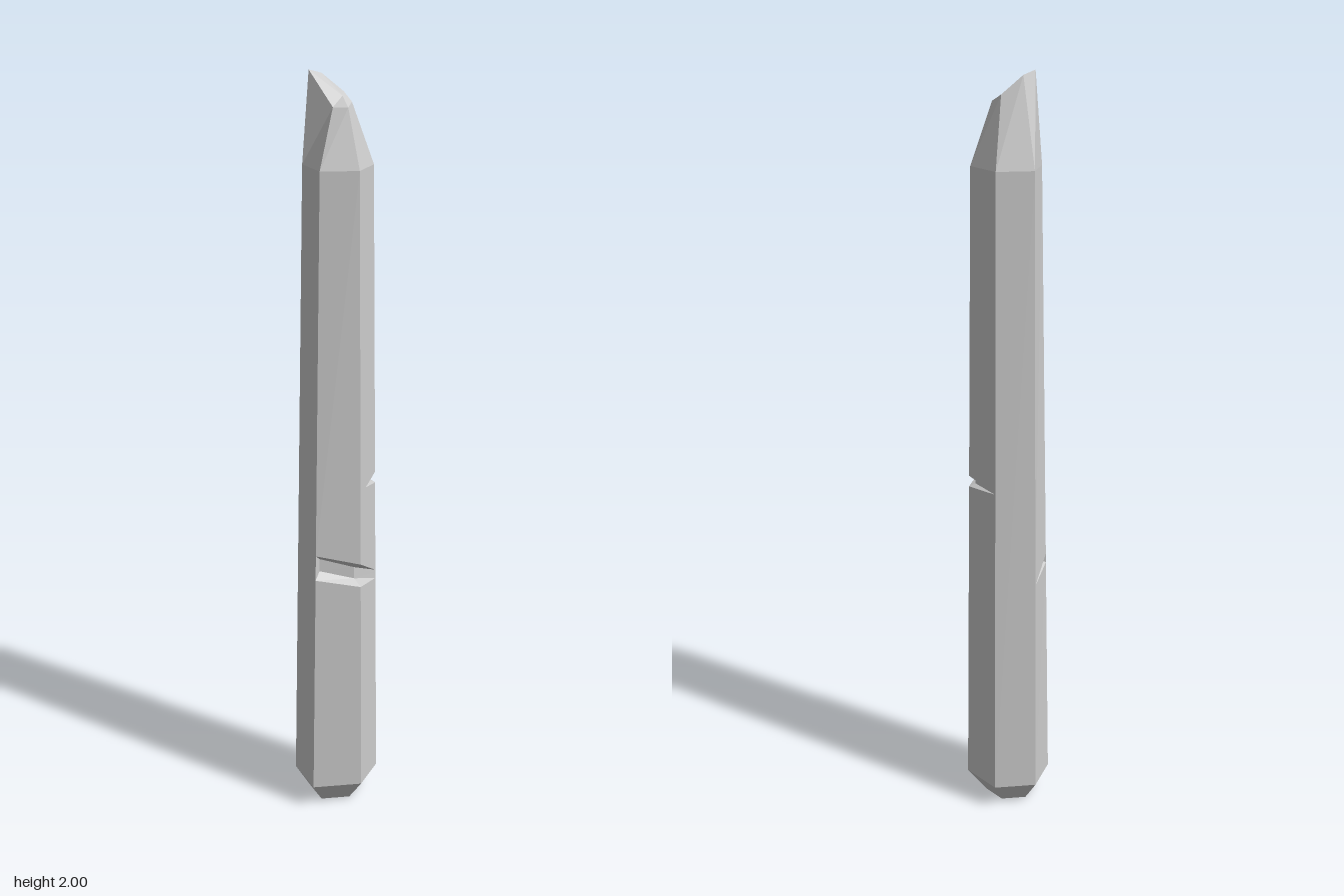
import * as THREE from 'three';

const v = (x, y, z) => new THREE.Vector3(x, y, z);
const Y0 = 0.065, Y1 = 1.77;

// Six corners, counter-clockwise: left, front-left, front-right, right, back-right, back-left
const foot = [[-0.12, -0.012], [-0.06, 0.085], [0.06, 0.107], [0.12, -0.012], [0.06, -0.108], [-0.06, -0.108]];
const shoulder = [[-0.102, -0.01], [-0.05, 0.057], [0.049, 0.073], [0.1, -0.01], [0.049, -0.09], [-0.05, -0.09]];
const crown = [v(-0.036, 1.99, 0.008), v(-0.04, 2, 0.043), v(0.022, 1.915, 0.015),
  v(0.047, 1.915, -0.013), v(0.03, 1.925, -0.036), v(-0.01, 1.945, -0.04)];

// Chips per side: samples of [position along side, low edge, high edge, depth]
const chips = {
  0: [[[0, 0.67, 0.67, 0], [1, 0.695, 0.72, 0.2]]],
  2: [[[0, 0.69, 0.76, 0.22], [1, 0.665, 0.73, 0.23]]],
  3: [[[0, 0.665, 0.73, 0.23], [1, 0.638, 0.67, 0]],
    [[0, 0.935, 0.935, 0], [0.35, 0.935, 0.935, 0], [1, 0.925, 0.955, 0.15]]],
  4: [[[0, 0.925, 0.955, 0.15], [1, 0.935, 0.935, 0]]],
};

// Point on a side of the tapering shaft, pushed towards the axis by a depth ratio
function onSide(side, u, y, depth = 0) {
  const t = (y - Y0) / (Y1 - Y0), n = (side + 1) % 6;
  const at = (i, k) => THREE.MathUtils.lerp(foot[i][k], shoulder[i][k], t);
  const c = (k) => THREE.MathUtils.lerp(at(side, k), at(n, k), u) * (1 - depth);
  return v(c(0), y, c(1));
}

function quad(out, a, b, c, d) {
  out.push(a, b, c, a, c, d);
}

function facetedMesh(name, points) {
  const geometry = new THREE.BufferGeometry().setFromPoints(points);
  geometry.computeVertexNormals();
  const material = new THREE.MeshStandardMaterial({ color: 0xcccccc, flatShading: true, side: THREE.DoubleSide });
  const mesh = new THREE.Mesh(geometry, material);
  mesh.name = name;
  return mesh;
}

// Outer skin of a side between two edge lines of [u, y]
function panel(out, side, low, high) {
  const outline = [...low, ...[...high].reverse()].map(([u, y]) => new THREE.Vector2(u, y));
  for (const tri of THREE.ShapeUtils.triangulateShape(outline, [])) {
    for (const i of tri) out.push(onSide(side, outline[i].x, outline[i].y));
  }
}

// Chip cross-section: outer low, inner low, inner high, outer high
function section(side, [u, low, high, depth]) {
  const inset = (high - low) * 0.25;
  return [onSide(side, u, low), onSide(side, u, low + inset, depth),
    onSide(side, u, high - inset, depth), onSide(side, u, high)];
}

export function createModel() {
  const group = new THREE.Group();
  group.name = 'hexagonalPillar';
  const skin = [], cuts = [], base = [], tip = [];

  for (let s = 0; s < 6; s++) {
    const n = (s + 1) % 6;

    // Shaft side, split around its chips
    let low = [[0, Y0], [1, Y0]];
    for (const chip of chips[s] || []) {
      panel(skin, s, low, chip.map(([u, y]) => [u, y]));
      low = chip.map(([u, , y]) => [u, y]);
      const rows = chip.map((sample) => section(s, sample));
      for (let i = 0; i < rows.length - 1; i++) {
        for (let k = 0; k < 3; k++) quad(cuts, rows[i][k], rows[i + 1][k], rows[i + 1][k + 1], rows[i][k + 1]);
      }
      // End walls where a chip stops against the front side
      if (s === 0) quad(cuts, ...rows[rows.length - 1]);
      if (s === 2) quad(cuts, ...[...rows[0]].reverse());
    }
    panel(skin, s, low, [[0, Y1], [1, Y1]]);

    // Bevelled foot
    const b = (i) => v(foot[i][0] * 0.59, 0, foot[i][1] * 0.59);
    quad(base, b(s), b(n), onSide(s, 1, Y0), onSide(s, 0, Y0));
    base.push(v(0, 0, 0), b(n), b(s));

    // Broken tip
    quad(tip, onSide(s, 0, Y1), onSide(s, 1, Y1), crown[n], crown[s]);
    tip.push(crown[s], crown[n], v(0.01, 1.938, -0.022));
  }

  group.add(facetedMesh('shaft', skin), facetedMesh('chips', cuts),
    facetedMesh('foot', base), facetedMesh('brokenTip', tip));
  return group;
}
